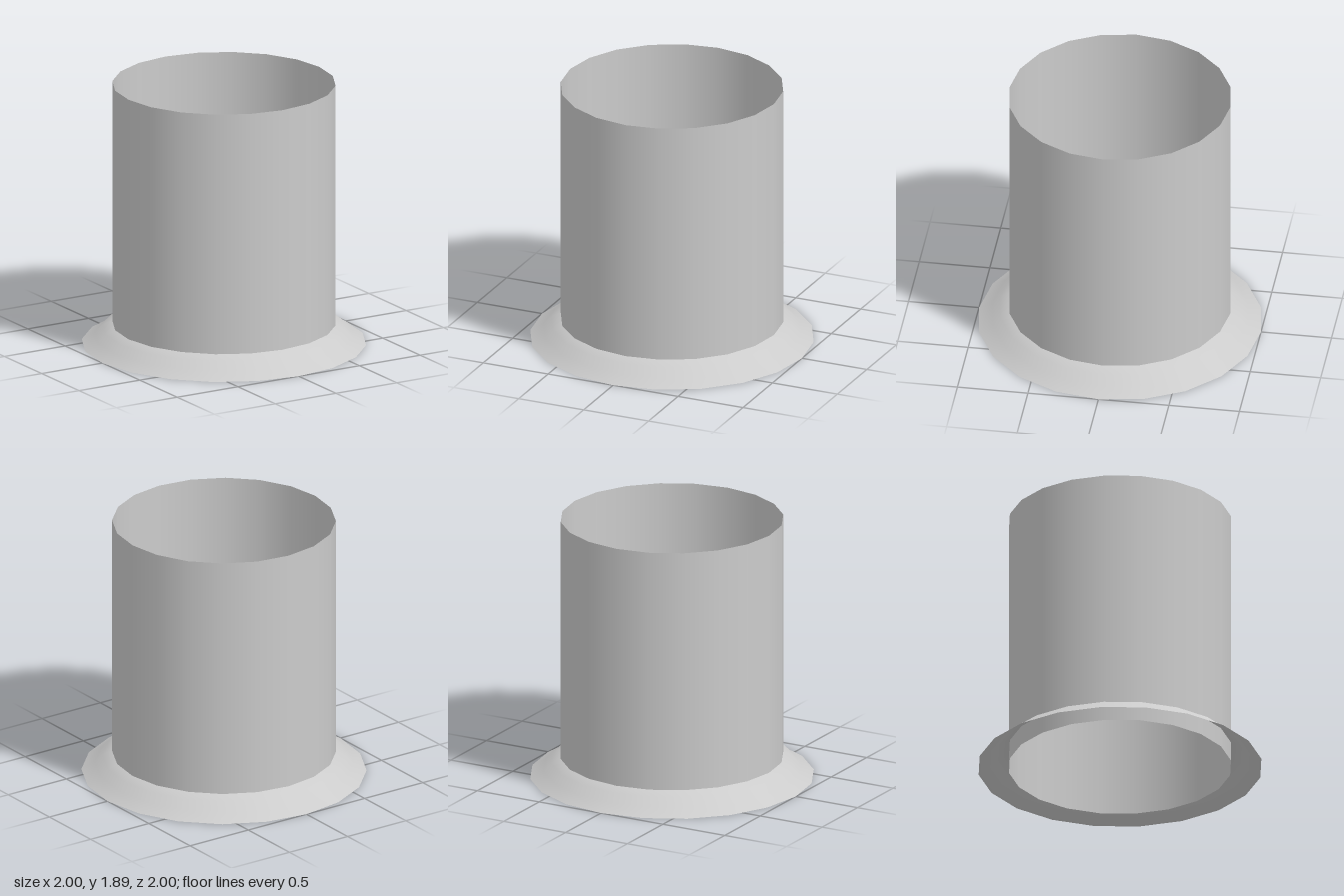
import * as THREE from 'three';

const SIDES = 20;

// Open sheet turned around the y axis from [radius, height] points, bottom to top
function turned(name, profile, material) {
  const points = profile.map(([r, y]) => new THREE.Vector2(r, y));
  const mesh = new THREE.Mesh(new THREE.LatheGeometry(points, SIDES), material);
  mesh.name = name;
  return mesh;
}

export function createModel() {
  const group = new THREE.Group();
  group.name = 'flangedPipe';
  const material = new THREE.MeshStandardMaterial({ color: 0xcccccc, side: THREE.DoubleSide });

  // Thin pipe wall, open at both ends
  group.add(turned('pipe', [[0.785, 0], [0.785, 1.89]], material));

  // Flared skirt around the foot, hollow underneath
  group.add(turned('baseFlange', [[1, 0], [0.905, 0.055], [0.85, 0.11], [0.785, 0.14]], material));

  return group;
}
